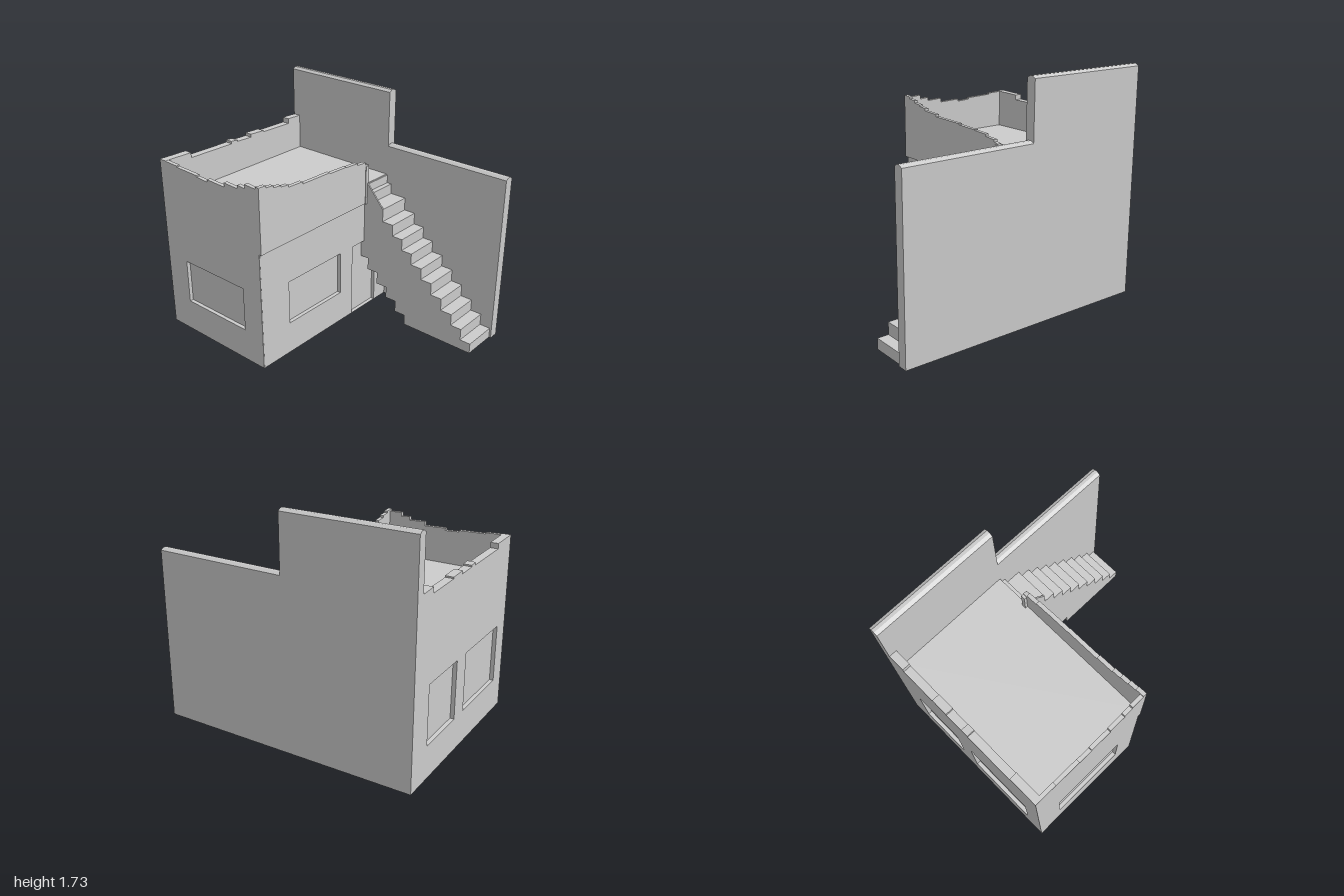
import * as THREE from 'three';

const mat = new THREE.MeshStandardMaterial({ color: 0xcccccc, flatShading: true, side: THREE.DoubleSide });

// Outline of a wall whose broken top is given as [start, height] runs ending at u1
function wallShape(bottom, runs, u1) {
  const pts = [[runs[0][0], bottom]];
  runs.forEach(([u, h], i) => {
    const next = i + 1 < runs.length ? runs[i + 1][0] : u1;
    pts.push([u, h], [next, h - 0.006]);
  });
  pts.push([u1, bottom]);
  return new THREE.Shape(pts.map(p => new THREE.Vector2(...p)));
}

// Wall with rectangular recesses [u0, u1, y0, y1]; each is closed by a pane at paneZ
function makeWall(name, shape, depth, openings = [], paneZ = 0) {
  const group = new THREE.Group();
  group.name = name;
  for (const [a, b, c, d] of openings) {
    shape.holes.push(new THREE.Path([[a, c], [a, d], [b, d], [b, c]].map(p => new THREE.Vector2(...p))));
    const pane = new THREE.Mesh(new THREE.PlaneGeometry(b - a, d - c), mat);
    pane.name = name + 'Pane';
    pane.position.set((a + b) / 2, (c + d) / 2, paneZ);
    group.add(pane);
  }
  const wall = new THREE.Mesh(new THREE.ExtrudeGeometry(shape, { depth, bevelEnabled: false }), mat);
  wall.name = name + 'Body';
  group.add(wall);
  return group;
}

// Sheet swept along x from a path of [z, y] points
function strip(name, path, x0, x1) {
  const pos = [], idx = [];
  path.forEach(([z, y], i) => {
    pos.push(x0, y, z, x1, y, z);
    if (i) {
      const a = 2 * i - 2;
      idx.push(a, a + 1, a + 2, a + 1, a + 3, a + 2);
    }
  });
  const geo = new THREE.BufferGeometry();
  geo.setAttribute('position', new THREE.Float32BufferAttribute(pos, 3));
  geo.setIndex(idx);
  const flat = geo.toNonIndexed();
  flat.computeVertexNormals();
  const mesh = new THREE.Mesh(flat, mat);
  mesh.name = name;
  return mesh;
}

function box(name, x0, x1, y0, y1, z0, z1) {
  const mesh = new THREE.Mesh(new THREE.BoxGeometry(x1 - x0, y1 - y0, z1 - z0), mat);
  mesh.name = name;
  mesh.position.set((x0 + x1) / 2, (y0 + y1) / 2, (z0 + z1) / 2);
  return mesh;
}

// Tall party wall section with a softly bevelled top
function partyWall(name, height, z0, z1) {
  const s = new THREE.Shape([[0.655, 0], [0.73, 0], [0.73, height - 0.015], [0.705, height],
    [0.68, height], [0.655, height - 0.015]].map(p => new THREE.Vector2(...p)));
  const mesh = new THREE.Mesh(new THREE.ExtrudeGeometry(s, { depth: z1 - z0, bevelEnabled: false }), mat);
  mesh.name = name;
  mesh.position.z = z0;
  return mesh;
}

function makeStairs() {
  const stairs = new THREE.Group();
  stairs.name = 'stairs';
  const fronts = [0.985, 0.9, 0.81, 0.715, 0.62, 0.525, 0.43, 0.34, 0.25, 0.155, 0.02, -0.06];
  const tops = [0.08, 0.17, 0.26, 0.355, 0.45, 0.54, 0.63, 0.72, 0.81, 0.91, 0.99, 1.06];
  const x0 = 0.38, x1 = 0.66, back = -0.06;

  // Treads and risers
  const upper = [[fronts[0], 0]];
  fronts.forEach((z, i) => upper.push([z, tops[i]], [fronts[i + 1] ?? back, tops[i]]));
  // Stepped soffit, open to the ground at the front end
  const lower = [[0.39, 0]];
  for (let i = 0; i < 5; i++) {
    const z = 0.39 - i * 0.092;
    lower.push([z, tops[i]], [i < 4 ? z - 0.092 : back, tops[i]]);
  }
  stairs.add(strip('treads', upper, x0, x1), strip('soffit', lower, x0, x1));

  // Side panel
  const side = new THREE.Shape([...upper, ...lower.reverse()].map(([z, y]) => new THREE.Vector2(z, y)));
  const panel = new THREE.Mesh(new THREE.ShapeGeometry(side), mat);
  panel.name = 'stairSide';
  panel.rotation.y = -Math.PI / 2;
  panel.position.x = x0;
  stairs.add(panel);
  return stairs;
}

export function createModel() {
  const model = new THREE.Group();
  model.name = 'ruinedHouse';

  // Front wall with window and door
  const front = makeWall('frontWall', wallShape(0, [[-0.73, 1.06]], 0.66), 0.03,
    [[-0.46, 0.1, 0.25, 0.59], [0.24, 0.52, 0.001, 0.59]], 0.001);
  front.position.z = -0.05;

  // Front parapet, standing slightly proud of the wall below
  const parapet = makeWall('frontParapet', wallShape(0.92, [[-0.735, 1.41], [-0.665, 1.39], [-0.6, 1.368],
    [-0.53, 1.35], [-0.46, 1.326], [-0.32, 1.304], [-0.04, 1.29], [0.14, 1.28], [0.26, 1.258],
    [0.355, 1.235]], 0.393), 0.03);
  parapet.position.z = -0.03;

  // Back wall with two windows
  const back = makeWall('backWall', wallShape(0, [[-0.735, 1.35], [-0.5, 1.305], [-0.105, 1.319],
    [-0.045, 1.302], [0.1, 1.32], [0.235, 1.303], [0.52, 1.338]], 0.66), 0.06,
    [[0.105, 0.52, 0.25, 0.69], [-0.595, -0.04, 0.25, 0.69]], 0.03);
  back.position.z = -1;

  // Left wall with one window
  const left = makeWall('leftWall', wallShape(0, [[-1, 1.35], [-0.82, 1.335], [-0.61, 1.318],
    [-0.5, 1.33], [-0.33, 1.355], [-0.2, 1.375], [-0.13, 1.4]], -0.021), 0.03,
    [[-0.8, -0.2, 0.25, 0.59]], 0.001);
  left.rotation.y = -Math.PI / 2;
  left.position.x = -0.705;

  model.add(front, parapet, back, left);
  model.add(box('roofTerrace', -0.71, 0.66, 1.03, 1.06, -0.95, -0.03));
  model.add(box('parapetEnd', 0.36, 0.393, 0.915, 1.22, -0.05, 0.005));

  // Sloping curb where the parapet meets the stairs
  const curb = makeWall('stairCurb', new THREE.Shape([[0, 0.91], [0.155, 0.91], [0, 1.09]]
    .map(p => new THREE.Vector2(...p))), 0.012);
  curb.rotation.y = -Math.PI / 2;
  curb.position.x = 0.39;
  model.add(curb);

  // Party wall: low beside the stairs, high beside the terrace
  model.add(partyWall('lowPartyWall', 1.305, -0.02, 1), partyWall('highPartyWall', 1.727, -1, -0.02));
  model.add(makeStairs());
  return model;
}
